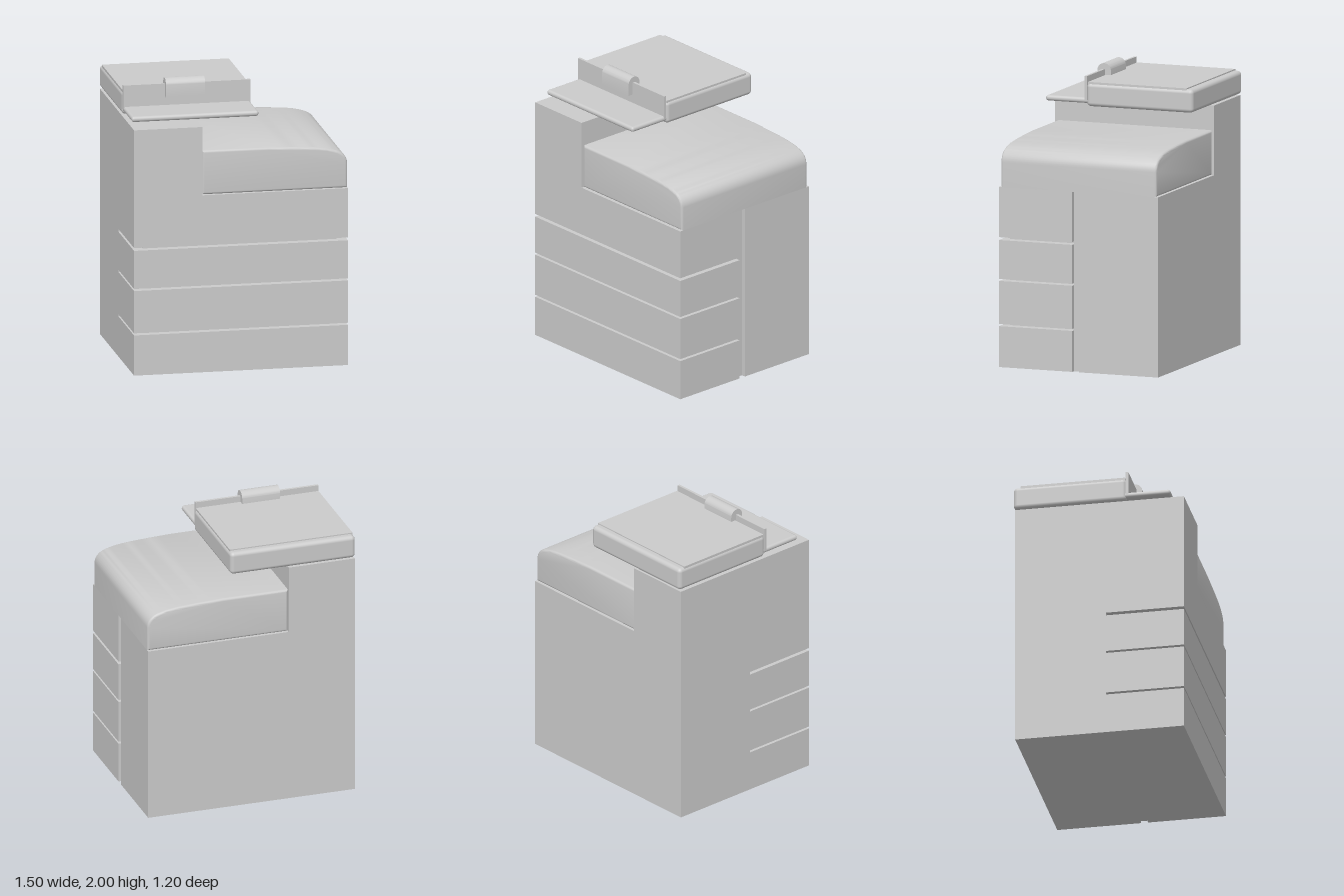
import * as THREE from 'three';
import { toCreasedNormals } from 'three/addons/utils/BufferGeometryUtils.js';
import { RoundedBoxGeometry } from 'three/addons/geometries/RoundedBoxGeometry.js';

export function createModel() {
  const model = new THREE.Group();
  const grey = new THREE.MeshStandardMaterial({ color: 0xcccccc });

  function add(name, geometry) {
    const mesh = new THREE.Mesh(geometry, grey);
    mesh.name = name;
    model.add(mesh);
    return mesh;
  }

  // Box given by its minimum and maximum on each axis; rounded when r > 0
  function box(name, [x0, x1], [y0, y1], [z0, z1], r = 0) {
    const size = [x1 - x0, y1 - y0, z1 - z0];
    const geometry = r > 0 ? new RoundedBoxGeometry(...size, 4, r) : new THREE.BoxGeometry(...size);
    add(name, geometry).position.set((x0 + x1) / 2, (y0 + y1) / 2, (z0 + z1) / 2);
  }

  const W = 0.75, FRONT = 0.595, BACK = -0.587;
  const DECK = 1.255, TOWER = 1.74, STEP = -0.27;

  // L-shaped slab of the cabinet with the raised tower on one side
  function steppedSlab(name, bottom, z0, z1, right = W) {
    const shape = new THREE.Shape([
      [-W, bottom], [right, bottom], [right, DECK], [STEP, DECK], [STEP, TOWER], [-W, TOWER],
    ].map(([x, y]) => new THREE.Vector2(x, y)));
    const geometry = new THREE.ExtrudeGeometry(shape, { depth: z1 - z0, bevelEnabled: false });
    add(name, geometry.translate(0, 0, z0));
  }

  // Cabinet: rear housing, recessed vertical seam, upper front housing
  steppedSlab('rearHousing', 0, BACK, 0);
  steppedSlab('sideSeam', 0, 0, 0.05, W - 0.03);
  steppedSlab('upperFrontHousing', 0.905, 0.05, FRONT);

  // Paper drawers, with gaps showing the inner core
  [[0, 0.285], [0.3, 0.6], [0.615, 0.885]].forEach((y, i) =>
    box(`paperDrawer${i + 1}`, [-W, W], y, [0.05, FRONT]));
  box('drawerCore', [-0.68, 0.68], [0.01, 0.91], [0.04, 0.54]);

  // Rounded hood on the lower deck: side profile swept front to back with a soft bevel
  const bevel = 0.018;
  const hood = new THREE.Shape();
  hood.moveTo(STEP + bevel, DECK + bevel);
  hood.lineTo(W - bevel, DECK + bevel);
  hood.lineTo(W - bevel, 1.425);
  hood.bezierCurveTo(W - bevel, 1.47, 0.7, 1.497, 0.655, 1.508);
  hood.bezierCurveTo(0.58, 1.533, 0.5, 1.536, 0.2, 1.549);
  hood.lineTo(STEP + bevel, 1.549);
  hood.closePath();
  const hoodGeometry = new THREE.ExtrudeGeometry(hood, {
    depth: 1.156 - 2 * bevel, bevelSize: bevel, bevelThickness: bevel, bevelSegments: 4, curveSegments: 10,
  }).translate(0, 0, -0.575 + bevel);
  add('hood', toCreasedNormals(hoodGeometry, 0.6));

  // Scanner unit above the tower, with its lid plate
  box('scannerBody', [-0.752, 0.155], [1.75, 1.912], [-0.6, 0.19], 0.028);
  box('scannerLid', [-0.745, 0.145], [1.9, 1.92], [-0.55, 0.18]);

  // Control shelf with upright panel
  box('controlShelf', [-0.745, 0.145], [1.77, 1.808], [0.15, 0.497], 0.018);
  box('uprightPanel', [-0.747, 0.145], [1.79, 1.96], [0.186, 0.205]);

  // Arched clip straddling the upright panel
  const clip = new THREE.Shape();
  clip.moveTo(-0.05, 1.87);
  clip.lineTo(0.05, 1.87);
  clip.lineTo(0.05, 1.95);
  clip.absarc(0, 1.95, 0.05, 0, Math.PI, false);
  clip.closePath();
  const clipGeometry = new THREE.ExtrudeGeometry(clip, { depth: 0.275, bevelEnabled: false, curveSegments: 16 });
  clipGeometry.rotateY(-Math.PI / 2).translate(-0.18, 0, 0.193);
  add('panelClip', toCreasedNormals(clipGeometry, 0.6));

  return model;
}
